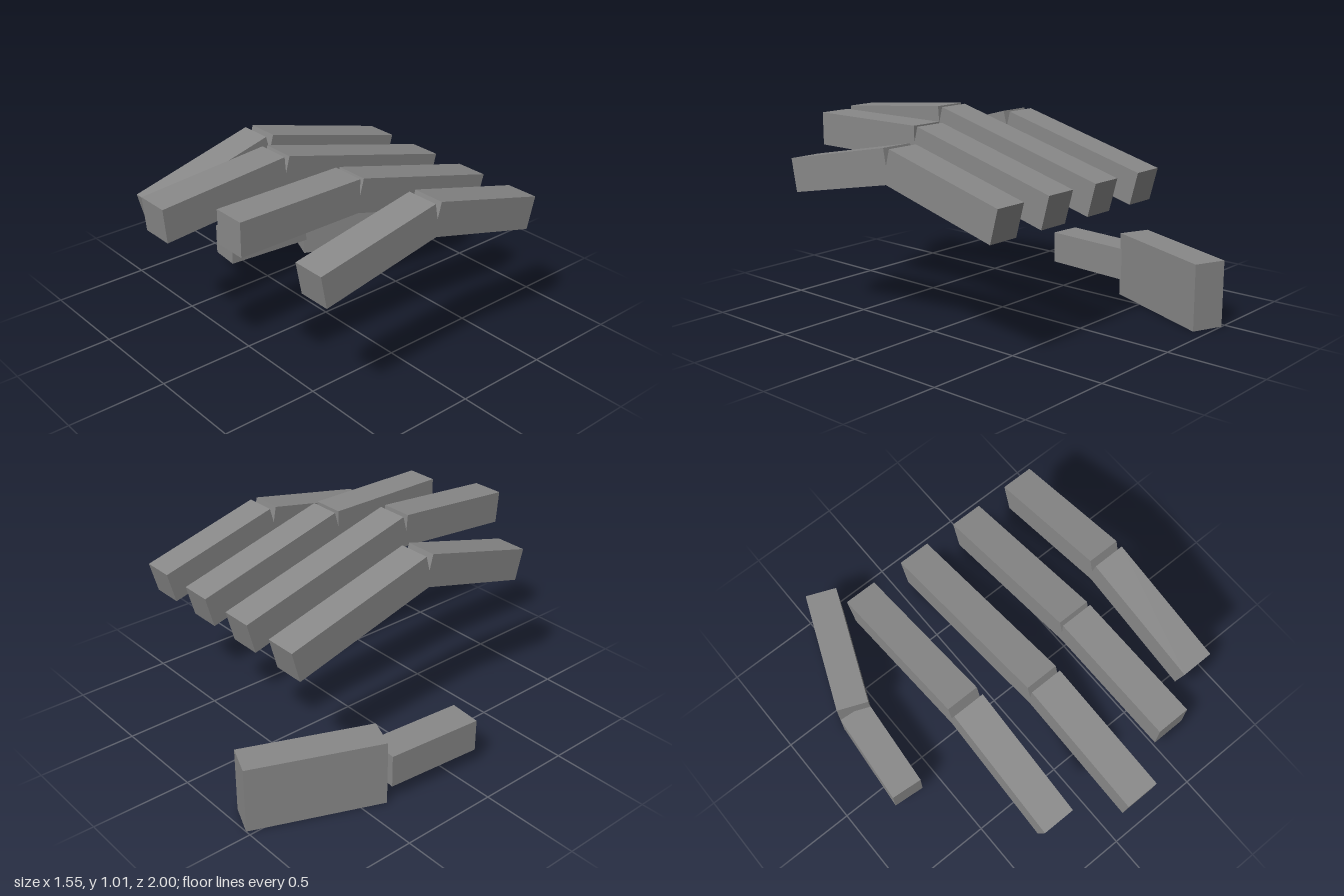
import * as THREE from 'three';

const rad = THREE.MathUtils.degToRad;

export function createModel() {
  const hand = new THREE.Group();
  hand.name = 'hand';
  const grey = new THREE.MeshStandardMaterial({ color: 0x888888 });
  grey.name = 'grey';
  const T = 1 / 6; // bone thickness

  // Box running along +z from its pivot; pitch tips it up, yaw turns it to +x
  function bone(name, parent, position, height, length, pitch, yaw) {
    const geometry = new THREE.BoxGeometry(T, height, length).translate(0, 0, length / 2);
    const mesh = new THREE.Mesh(geometry, grey);
    mesh.name = name;
    mesh.position.copy(position);
    mesh.rotation.set(-rad(pitch), rad(yaw), 0);
    parent.add(mesh);
    mesh.updateMatrix();
    return new THREE.Vector3(0, 0, length).applyMatrix4(mesh.matrix); // far end
  }

  // Two bones joined end to end
  function digit(name, start, base, tip) {
    const group = new THREE.Group();
    group.name = name;
    const joint = bone(name + 'Base', group, start, ...base);
    bone(name + 'Tip', group, joint, ...tip);
    hand.add(group);
  }

  // Fingers: x, base length, tip pitch
  const fingers = [
    ['indexFinger', -0.308, 5 / 6, -15],
    ['middleFinger', 0.025, 1, -5],
    ['ringFinger', 0.358, 5 / 6, 0],
    ['littleFinger', 0.692, 2 / 3, -11],
  ];
  for (const [name, x, length, pitch] of fingers) {
    digit(name, new THREE.Vector3(x, 0.671, -0.635),
      [T, length, 15, 0], [T, 2 / 3, pitch, 0]);
  }

  // Thumb, with a taller base
  digit('thumb', new THREE.Vector3(-0.394, T, -0.968),
    [2 * T, 2 / 3, 0, -22.5], [T, 0.5, 0, -5]);

  return hand;
}
